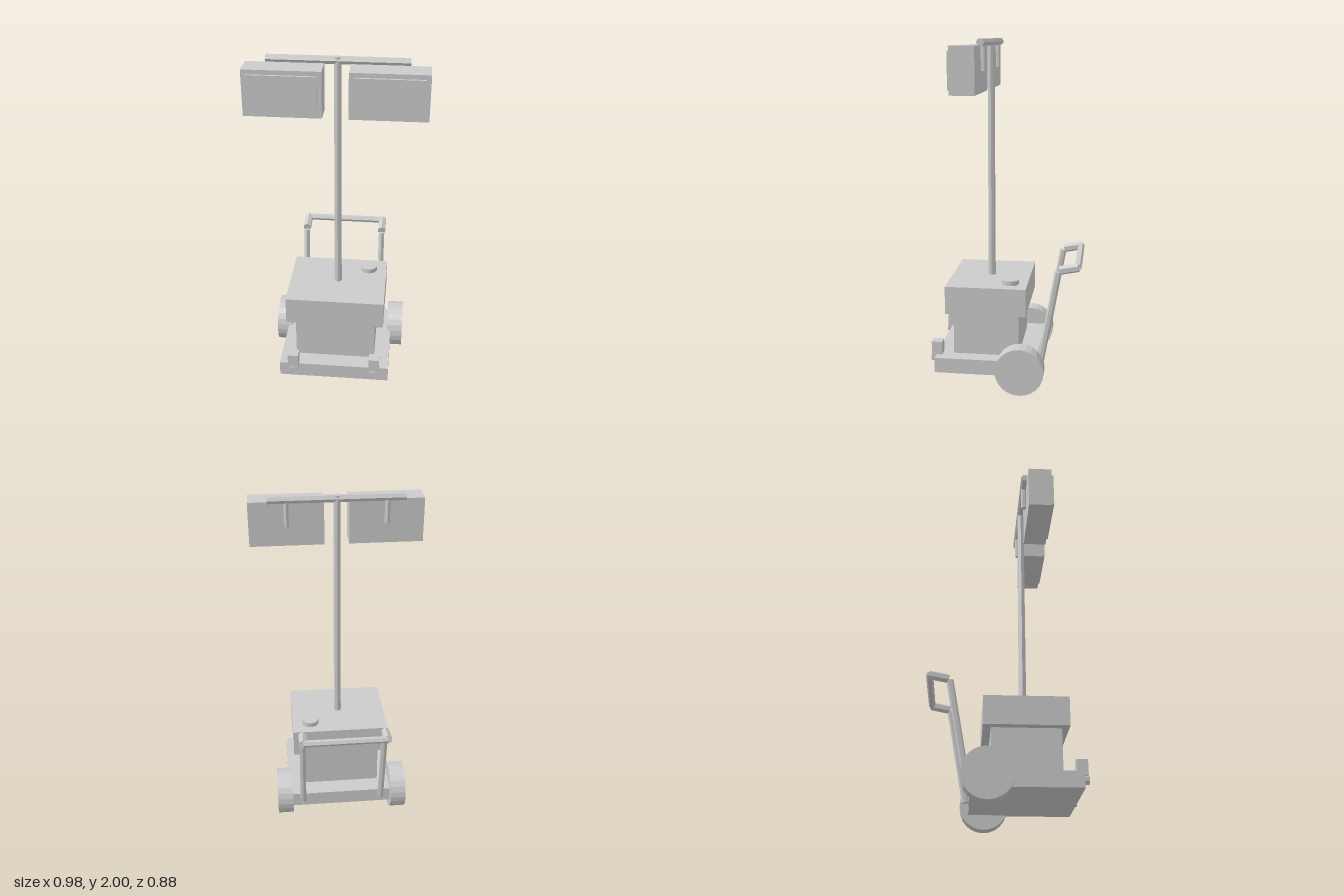
import * as THREE from 'three';

const material = new THREE.MeshStandardMaterial({ color: 0xcccccc, flatShading: true });

export function createModel() {
  const model = new THREE.Group();
  model.name = 'lightTower';

  const add = (name, geometry) => {
    const mesh = new THREE.Mesh(geometry, material);
    mesh.name = name;
    model.add(mesh);
    return mesh;
  };

  // Box given by its limits on each axis
  const box = (name, [x0, x1], [y0, y1], [z0, z1]) =>
    add(name, new THREE.BoxGeometry(x1 - x0, y1 - y0, z1 - z0))
      .position.set((x0 + x1) / 2, (y0 + y1) / 2, (z0 + z1) / 2);

  // Straight round bar between two points
  const rod = (name, from, to, radius, sides = 6, endRadius = radius) => {
    const a = new THREE.Vector3(...from);
    const b = new THREE.Vector3(...to);
    const dir = b.clone().sub(a);
    const mesh = add(name, new THREE.CylinderGeometry(endRadius, radius, dir.length(), sides));
    mesh.position.copy(a).add(b).multiplyScalar(0.5);
    mesh.quaternion.setFromUnitVectors(new THREE.Vector3(0, 1, 0), dir.normalize());
  };

  // Cart and power unit
  box('base', [-0.327, 0.327], [0.085, 0.175], [-0.19, 0.405]);
  box('body', [-0.237, 0.237], [0.175, 0.435], [-0.08, 0.305]);
  box('hood', [-0.288, 0.288], [0.435, 0.6], [-0.125, 0.345]);
  rod('fuelCap', [0.18, 0.59, -0.025], [0.18, 0.628, -0.025], 0.05, 20);

  // Mast and lamp crossbar
  rod('mast', [0, 0.6, 0.11], [0, 2, 0.11], 0.022, 8, 0.02);
  rod('lampBar', [-0.383, 1.981, 0.11], [0.383, 1.981, 0.11], 0.022);

  for (const [side, s] of [['left', 1], ['right', -1]]) {
    const span = (a, b) => (s > 0 ? [a, b] : [-b, -a]);

    // Floodlight hanging from the crossbar
    box(side + 'Lamp', span(0.07, 0.49), [1.71, 1.965], [0.123, 0.26]);
    box(side + 'Lens', span(0.097, 0.465), [1.735, 1.94], [0.26, 0.273]);
    rod(side + 'LampStem', [s * 0.28, 1.83, 0.11], [s * 0.28, 1.98, 0.11], 0.016);

    // Wheel
    rod(side + 'Wheel', [s * 0.305, 0.14, -0.1], [s * 0.4, 0.14, -0.1], 0.14, 24);

    // Front bracket with its stub
    box(side + 'Bracket', span(0.211, 0.273), [0.165, 0.253], [0.37, 0.432]);
    rod(side + 'Stub', [s * 0.242, 0.15, 0.385], [s * 0.242, 0.15, 0.438], 0.026);

    // Leaning handle post and its bent grip
    rod(side + 'HandlePost', [s * 0.242, 0.14, -0.208], [s * 0.242, 0.7, -0.307], 0.02);
    rod(side + 'HandleGrip', [s * 0.242, 0.71, -0.315], [s * 0.242, 0.731, -0.423], 0.026);
  }
  rod('handleBar', [-0.242, 0.731, -0.42], [0.242, 0.731, -0.42], 0.02);

  return model;
}
